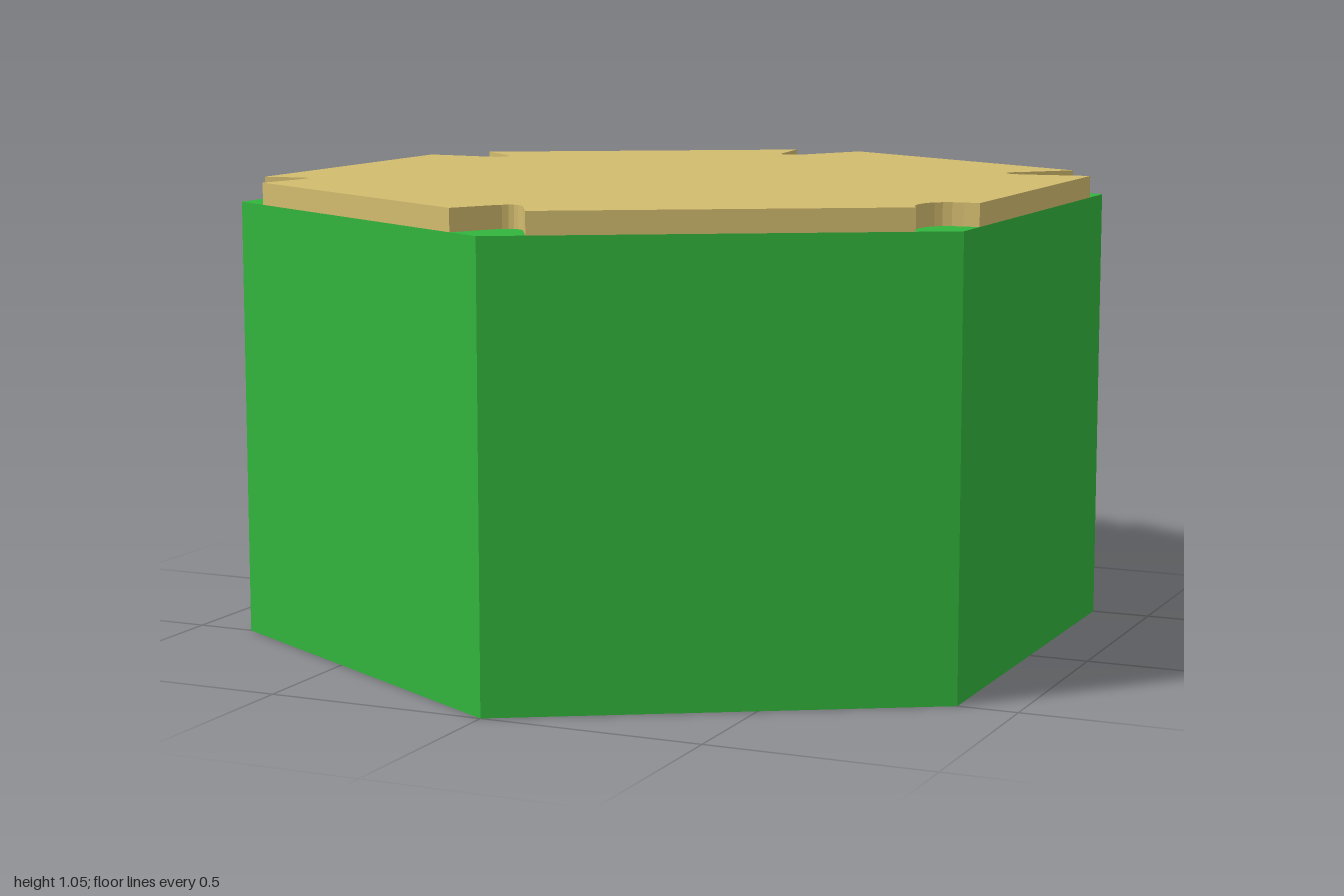
import * as THREE from 'three';

// Worn corners of the top slab, counter-clockwise from above as [x, z]:
// edge start, wall end, two controls of the rounded tip, wall start, edge end
const notches = [
  [[0.866, -0.4], [0.71, -0.38], [0.66, -0.376], [0.64, -0.42], [0.69, -0.455], [0.779, -0.55]],
  [[0.087, -0.95], [0.01, -0.81], [-0.01, -0.76], [-0.06, -0.745], [-0.067, -0.8], [-0.087, -0.95]],
  [[-0.779, -0.55], [-0.69, -0.47], [-0.645, -0.43], [-0.65, -0.385], [-0.7, -0.39], [-0.866, -0.4]],
  [[-0.866, 0.4], [-0.8, 0.39], [-0.75, 0.38], [-0.74, 0.39], [-0.755, 0.44], [-0.779, 0.55]],
  [[-0.087, 0.95], [-0.045, 0.875], [-0.015, 0.815], [0.015, 0.815], [0.045, 0.875], [0.087, 0.95]],
  [[0.779, 0.55], [0.765, 0.52], [0.75, 0.46], [0.76, 0.4], [0.83, 0.4], [0.866, 0.4]],
];

function slabShape() {
  const shape = new THREE.Shape();
  notches.forEach((notch, i) => {
    const [start, a, c1, c2, b, end] = notch.map(([x, z]) => [x, -z]);
    if (i === 0) shape.moveTo(...start);
    else shape.lineTo(...start);
    shape.lineTo(...a);
    shape.bezierCurveTo(...c1, ...c2, ...b);
    shape.lineTo(...end);
  });
  shape.closePath();
  return shape;
}

export function createModel() {
  const group = new THREE.Group();
  const addPart = (name, geometry, color) => {
    const mesh = new THREE.Mesh(geometry, new THREE.MeshStandardMaterial({ color, flatShading: true }));
    mesh.name = name;
    group.add(mesh);
  };

  // Hexagonal base block with points facing front and back
  const base = new THREE.CylinderGeometry(1, 1, 1, 6).translate(0, 0.5, 0);
  addPart('hexagonBase', base, 0x32b43c);

  // Thin path slab with a notch at each corner
  const slab = new THREE.ExtrudeGeometry(slabShape(), { depth: 0.05, bevelEnabled: false, curveSegments: 8 });
  slab.rotateX(-Math.PI / 2).translate(0, 1, 0);
  addPart('pathSlab', slab, 0xd2bb6e);

  return group;
}
